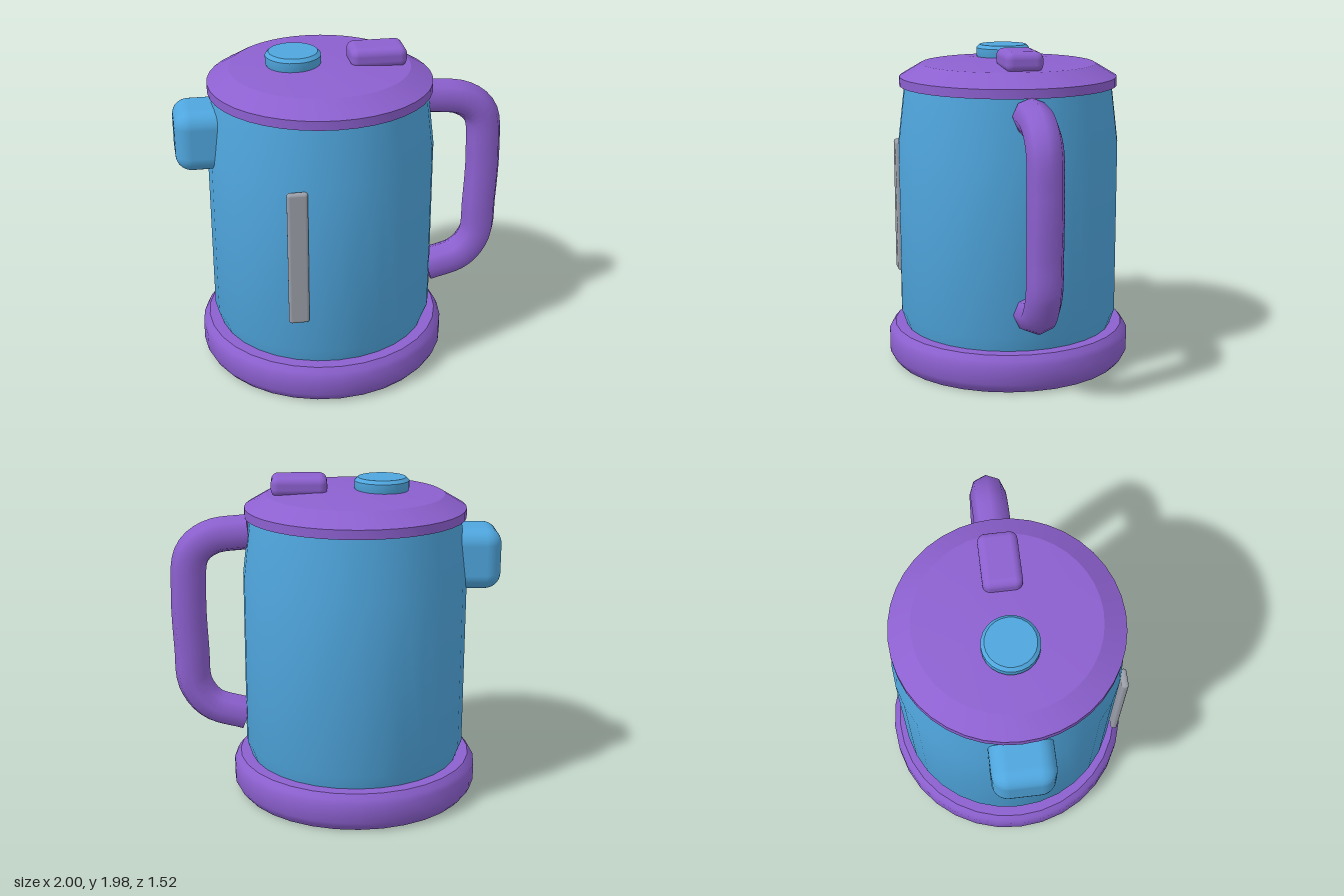
import * as THREE from 'three';
import { toCreasedNormals } from 'three/addons/utils/BufferGeometryUtils.js';
import { RoundedBoxGeometry } from 'three/addons/geometries/RoundedBoxGeometry.js';

const CX = -0.125; // axis of the kettle body

export function createModel() {
  const group = new THREE.Group();
  const material = (name, color) => {
    const m = new THREE.MeshStandardMaterial({ color });
    m.name = name;
    return m;
  };
  const blue = material('blue', 0x4fa6de);
  const purple = material('purple', 0x8c60cf);
  const grey = material('grey', 0x9a9ea8);

  const add = (name, geometry, mat, x = 0, y = 0, z = 0, parent = group) => {
    const mesh = new THREE.Mesh(geometry, mat);
    mesh.name = name;
    mesh.position.set(x, y, z);
    parent.add(mesh);
    return mesh;
  };
  // Turned part from [radius, height] pairs, bottom to top
  const turned = (profile, segments = 32, crease = 0.6) => toCreasedNormals(
    new THREE.LatheGeometry(profile.map(([r, y]) => new THREE.Vector2(r, y)), segments), crease);

  // Base, body and lid
  add('base', turned([[0, 0], [0.72, 0], [0.745, 0.03], [0.76, 0.06], [0.76, 0.17],
    [0.745, 0.2], [0.72, 0.23], [0, 0.23]], 32, 0.85), purple, CX);
  add('body', turned([[0, 0.2], [0.645, 0.2], [0.65, 0.23], [0.681, 0.32], [0.681, 1.38],
    [0.638, 1.74], [0, 1.74]]), blue, CX);
  add('lid', turned([[0, 1.735], [0.667, 1.735], [0.667, 1.79], [0.535, 1.868],
    [0.27, 1.888], [0, 1.896]], 40, 0.4), purple, CX);

  // Knob and switch on the lid
  add('lidKnob', turned([[0, 1.86], [0.15, 1.86], [0.165, 1.9], [0.165, 1.945],
    [0.145, 1.965], [0, 1.965]], 24, 0.5), blue, -0.283);
  add('lidSwitch', new RoundedBoxGeometry(0.335, 0.12, 0.226, 4, 0.045), purple, 0.212, 1.92, 0);

  // Spout and water gauge
  add('spout', new RoundedBoxGeometry(0.4, 0.37, 0.37, 4, 0.095), blue, -0.8, 1.485, 0);
  add('waterGauge', new RoundedBoxGeometry(0.12, 0.84, 0.042, 3, 0.018), grey, -0.36, 0.95, 0.66);

  // Handle: bent tube with closed ends
  const handle = new THREE.Group();
  handle.name = 'handle';
  group.add(handle);
  const path = new THREE.CatmullRomCurve3([
    [0.515, 1.635], [0.75, 1.6], [0.865, 1.5], [0.893, 1.25],
    [0.885, 0.9], [0.868, 0.67], [0.77, 0.535], [0.55, 0.464],
  ].map(([x, y]) => new THREE.Vector3(x, y, 0)));
  const radius = 0.108;
  add('handleTube', new THREE.TubeGeometry(path, 40, radius, 8), purple, 0, 0, 0, handle);
  for (const t of [0, 1]) {
    const p = path.getPointAt(t);
    const out = path.getTangentAt(t).multiplyScalar(t ? 1 : -1);
    const cap = add('handleEnd', new THREE.CircleGeometry(radius, 8), purple, p.x, p.y, p.z, handle);
    cap.lookAt(p.clone().add(out));
  }
  return group;
}
